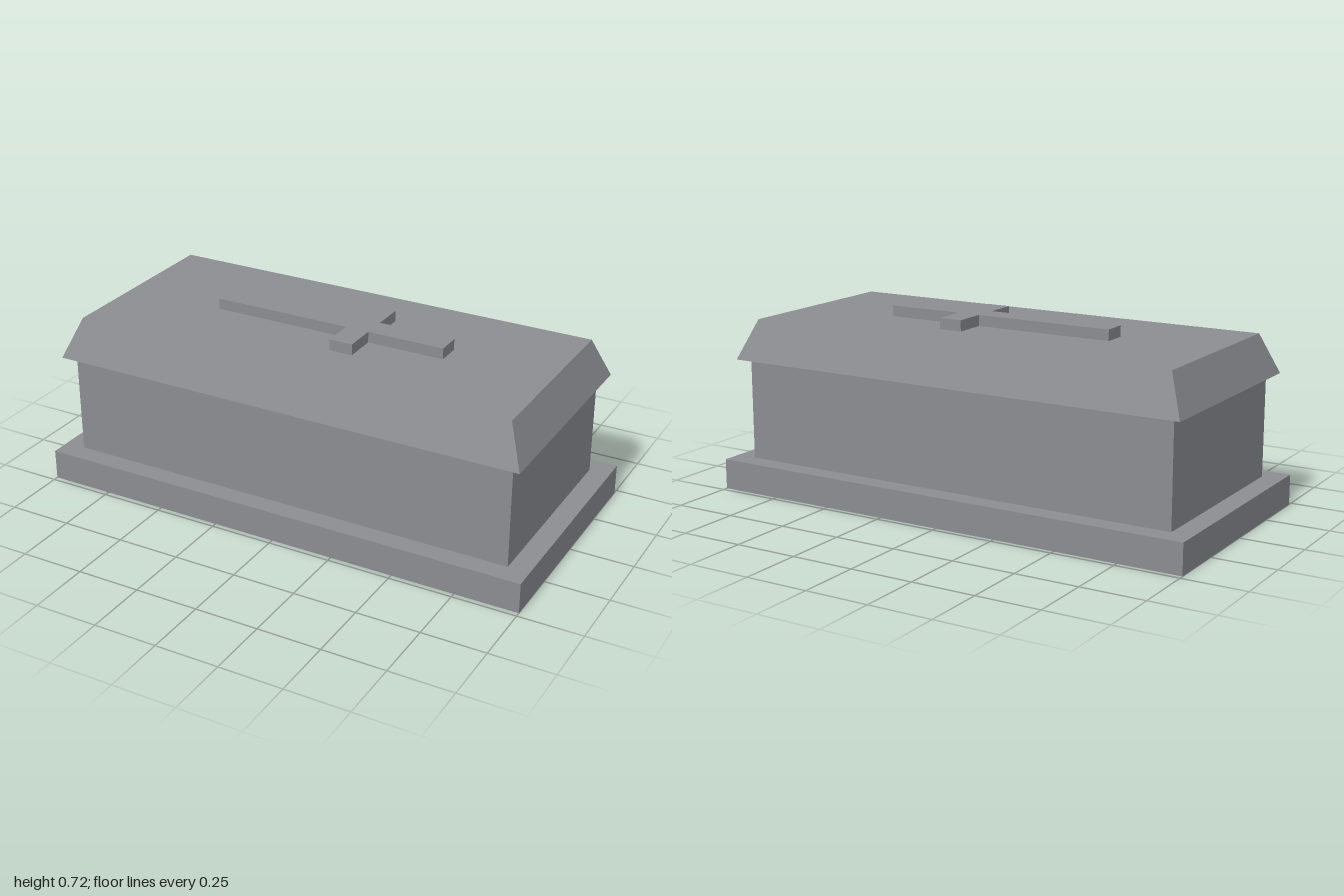
import * as THREE from 'three';

const stone = new THREE.MeshStandardMaterial({ color: 0x8c8d91, side: THREE.DoubleSide });
stone.name = 'grey stone';

// Hollow block, open underneath, whose top may be smaller than its foot
function block(name, y0, y1, width, depth, topWidth = width, topDepth = depth) {
  const geo = new THREE.BoxGeometry(1, y1 - y0, 1);
  const pos = geo.attributes.position;
  for (let i = 0; i < pos.count; i++) {
    const top = pos.getY(i) > 0;
    pos.setX(i, pos.getX(i) * (top ? topWidth : width));
    pos.setZ(i, pos.getZ(i) * (top ? topDepth : depth));
  }
  // Drop the bottom face (fourth of the six sides)
  const index = Array.from(geo.index.array);
  index.splice(18, 6);
  geo.setIndex(index);
  geo.clearGroups();
  geo.computeVertexNormals();
  const mesh = new THREE.Mesh(geo, stone);
  mesh.name = name;
  mesh.position.y = (y0 + y1) / 2;
  return mesh;
}

// Raised cross lying along x, arms nearer the +x end
function cross() {
  const w = 0.0475, arm = 0.176, end = 0.48, a = 0.08, b = 0.173;
  const shape = new THREE.Shape([
    [-end, -w], [a, -w], [a, -arm], [b, -arm], [b, -w], [end, -w],
    [end, w], [b, w], [b, arm], [a, arm], [a, w], [-end, w],
  ].map(([x, y]) => new THREE.Vector2(x, y)));
  const geo = new THREE.ExtrudeGeometry(shape, { depth: 0.043, bevelEnabled: false });
  geo.rotateX(-Math.PI / 2);
  const mesh = new THREE.Mesh(geo, stone);
  mesh.name = 'cross';
  mesh.position.y = 0.68;
  return mesh;
}

export function createModel() {
  const group = new THREE.Group();
  group.name = 'stone tomb';
  group.add(
    block('plinth', 0, 0.12, 2, 0.96),
    block('chest', 0.12, 0.523, 1.834, 0.8),
    block('lid', 0.523, 0.68, 1.914, 0.88, 1.786, 0.752),
    cross(),
  );
  return group;
}
